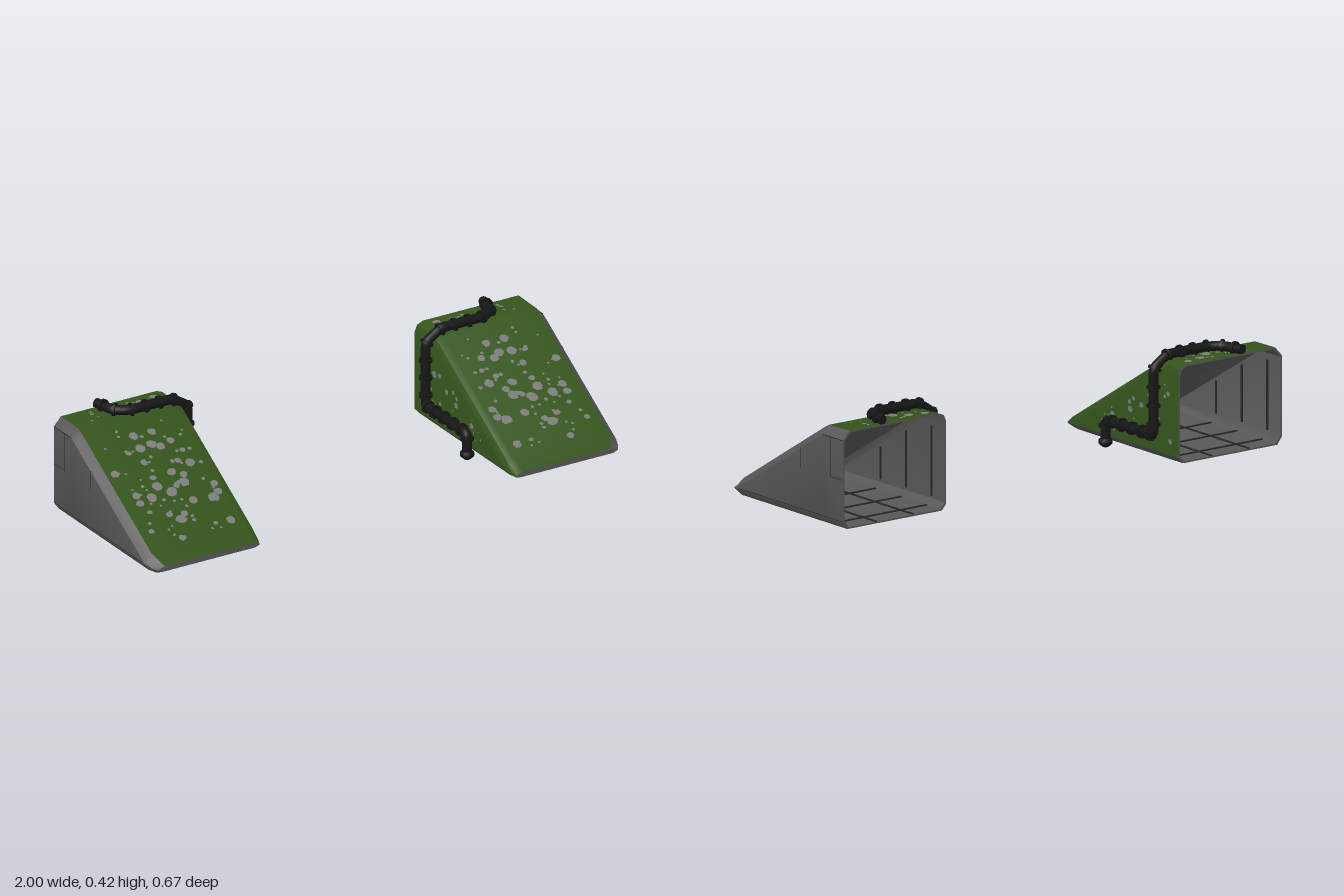
import * as THREE from 'three';
import { mergeGeometries, toCreasedNormals } from 'three/addons/utils/BufferGeometryUtils.js';

const mat = (color, side = THREE.FrontSide) => new THREE.MeshStandardMaterial({ color, side });
const GREY = mat(0x585858), INSIDE = mat(0x585858, THREE.DoubleSide), GREEN = mat(0x34541c);
const PATCH = mat(0x7c7c7c), DARK = mat(0x161616), SEAM = mat(0x262626);

const XI = 0.53, XO = 1.0, YB = 0.012;
// stations along the wedge: z, top height, bottom height, side inset
const STATIONS = [
  [-0.335, 0.376, YB, 0], [-0.215, 0.374, YB, 0], [-0.19, 0.361, YB, 0],
  [0.28, 0.077, YB, 0], [0.315, 0.056, YB, 0.012], [0.335, 0.04, 0.02, 0.024],
];

// cross-section, counter-clockwise seen from the front; t is the inset for the inner skin
function section([z, yt, yb, inset], t = 0) {
  const a = XI + inset * 0.6 + t, b = XO - inset - t, top = yt - t, bot = yb + t;
  const k = Math.min(1, (top - bot) / 0.066);
  return [
    [a + 0.02, bot], [b - 0.02, bot], [b, bot + 0.028 * k], [b, top - 0.033 * k], [b - 0.03, top],
    [a + 0.035, top], [a + 0.01, top - 0.01 * k], [a, top - 0.035 * k], [a, bot + 0.022 * k],
  ].map(([x, y]) => new THREE.Vector3(x, y, z));
}

function geometryFrom(points) {
  return toCreasedNormals(new THREE.BufferGeometry().setFromPoints(points), 0.7);
}

// joins rings of points along the chosen edges
function loft(rings, edges) {
  const out = [];
  for (let s = 0; s < rings.length - 1; s++) {
    const a = rings[s], b = rings[s + 1];
    for (const i of edges) {
      const j = (i + 1) % a.length;
      out.push(a[i], a[j], b[j], a[i], b[j], b[i]);
    }
  }
  return geometryFrom(out);
}

function add(group, name, geometry, material) {
  const m = new THREE.Mesh(geometry, material);
  m.name = name;
  group.add(m);
  return m;
}

const box = (w, h, d, x, y, z) => new THREE.BoxGeometry(w, h, d).translate(x, y, z);

function buildShell(g) {
  const rings = STATIONS.map((s) => section(s));
  const all = [0, 1, 2, 3, 4, 5, 6, 7, 8];
  add(g, 'sidePanelsAndBase', loft(rings, [0, 1, 2, 3, 8]), GREY);
  add(g, 'paintedCover', loft(rings, [4, 5, 6, 7]), GREEN);

  // blunt front edge
  const front = rings[rings.length - 1], cap = [];
  for (let i = 1; i < front.length - 1; i++) cap.push(front[0], front[i], front[i + 1]);
  add(g, 'frontEdge', geometryFrom(cap), GREY);

  // hollow interior, open at the back
  const inner = STATIONS.slice(0, 4).map((s) => section(s, 0.006));
  add(g, 'innerSkin', loft(inner, all), INSIDE);
  add(g, 'rearRim', loft([inner[0], rings[0]], all), INSIDE);

  // ribs on the floor, side walls and ceiling
  const ribs = [];
  for (const z of [-0.26, -0.11, 0.04]) {
    const h = 0.361 - 0.604 * Math.max(0, z + 0.19) - 0.1;
    ribs.push(box(0.41, 0.004, 0.008, 0.765, 0.02, z));
    for (const x of [XI + 0.008, XO - 0.008]) ribs.push(box(0.004, h, 0.008, x, 0.05 + h / 2, z));
  }
  for (const x of [0.68, 0.85]) ribs.push(box(0.008, 0.004, 0.5, x, 0.02, -0.085));
  add(g, 'innerRibs', mergeGeometries(ribs), SEAM);

  // panel seams on the outer side
  const w = 0.002, x = XO - 0.0005;
  add(g, 'panelSeams', mergeGeometries([
    box(w, 0.073, w, x, 0.229, -0.083), box(w, 0.148, w, x, 0.27, -0.261),
    box(w, w, 0.074, x, 0.196, -0.298), box(w, w, 0.118, x, 0.343, -0.275),
    box(w, w, 0.6, x, 0.041, -0.035),
  ]), SEAM);
}

// worn spots in the paint on the slope, the top and the inner wall
function buildPatches(g) {
  let seed = 11;
  const rnd = () => (seed = (seed * 16807) % 2147483647) / 2147483647;
  const list = [];
  const spot = (r) => {
    const c = new THREE.CircleGeometry(r, 9), p = c.attributes.position;
    for (let i = 1; i < p.count - 1; i++) {
      const f = 0.75 + 0.25 * rnd();
      p.setXY(i, p.getX(i) * f, p.getY(i) * f);
    }
    p.setXY(p.count - 1, p.getX(1), p.getY(1));
    return c.scale(1.15, 1, 1);
  };
  const size = () => 0.005 + 0.018 * rnd() ** 2.5;
  const tilt = Math.atan2(0.47, 0.284);
  for (let i = 0; i < 85; i++) {
    const f = 0.05 + 0.9 * rnd();
    list.push(spot(size()).rotateX(-tilt)
      .translate(0.59 + 0.35 * rnd(), 0.3622 - 0.284 * f, -0.19 + 0.47 * f));
  }
  for (let i = 0; i < 16; i++) {
    list.push(spot(size()).rotateX(-Math.PI / 2).translate(0.59 + 0.35 * rnd(), 0.3768, -0.31 + 0.07 * rnd()));
  }
  for (let i = 0; i < 30; i++) {
    const z = -0.3 + 0.42 * rnd(), top = 0.361 - 0.604 * Math.max(0, z + 0.19) - 0.065;
    list.push(spot(size() * 0.8).rotateY(-Math.PI / 2).translate(XI - 0.001, 0.06 + (top - 0.06) * rnd(), z));
  }
  add(g, 'wornPatches', mergeGeometries(list), PATCH);
}

// straight runs joined by short bends
function roundedPath(points, radius) {
  const path = new THREE.CurvePath();
  let from = points[0];
  for (let i = 1; i < points.length - 1; i++) {
    const p = points[i];
    const toward = (q) => p.clone().add(q.clone().sub(p).setLength(radius));
    const a = toward(points[i - 1]), b = toward(points[i + 1]);
    path.add(new THREE.LineCurve3(from, a));
    path.add(new THREE.QuadraticBezierCurve3(a, p, b));
    from = b;
  }
  path.add(new THREE.LineCurve3(from, points[points.length - 1]));
  return path;
}

function buildPipe(g) {
  const path = roundedPath([
    [0.82, 0.392, -0.335], [0.80, 0.392, -0.25], [0.75, 0.392, -0.22], [0.57, 0.392, -0.22],
    [0.505, 0.35, -0.22], [0.505, 0.1, -0.22], [0.505, 0.1, 0.062], [0.505, 0.02, 0.062],
  ].map((p) => new THREE.Vector3(...p)), 0.022);
  add(g, 'pipe', new THREE.TubeGeometry(path, 160, 0.018, 12), DARK);
  add(g, 'pipeEnd', new THREE.CircleGeometry(0.018, 12).rotateY(Math.PI).translate(0.82, 0.392, -0.335), DARK);

  // flange rings along the pipe
  const up = new THREE.Vector3(0, 1, 0), collars = [];
  for (const u of [0.035, 0.09, 0.15, 0.21, 0.27, 0.33, 0.4, 0.47, 0.54, 0.61, 0.66, 0.71, 0.77, 0.83, 0.89, 0.94]) {
    const p = path.getPointAt(u);
    const q = new THREE.Quaternion().setFromUnitVectors(up, path.getTangentAt(u));
    collars.push(new THREE.CylinderGeometry(0.025, 0.025, 0.011, 14).applyQuaternion(q).translate(p.x, p.y, p.z));
  }
  add(g, 'pipeFlanges', mergeGeometries(collars), DARK);

  // tapered outlet at the bottom
  const outlet = [[0, 0], [0.012, 0], [0.026, 0.013], [0.026, 0.026], [0.018, 0.032]];
  add(g, 'pipeOutlet', new THREE.LatheGeometry(outlet.map((p) => new THREE.Vector2(...p)), 14), DARK)
    .position.set(0.505, 0, 0.062);
}

function buildWedge(name, side) {
  const g = new THREE.Group();
  g.name = name;
  buildShell(g);
  buildPatches(g);
  buildPipe(g);
  g.scale.x = side;
  return g;
}

export function createModel() {
  const model = new THREE.Group();
  model.name = 'wedgePair';
  model.add(buildWedge('leftWedge', 1), buildWedge('rightWedge', -1));
  return model;
}
